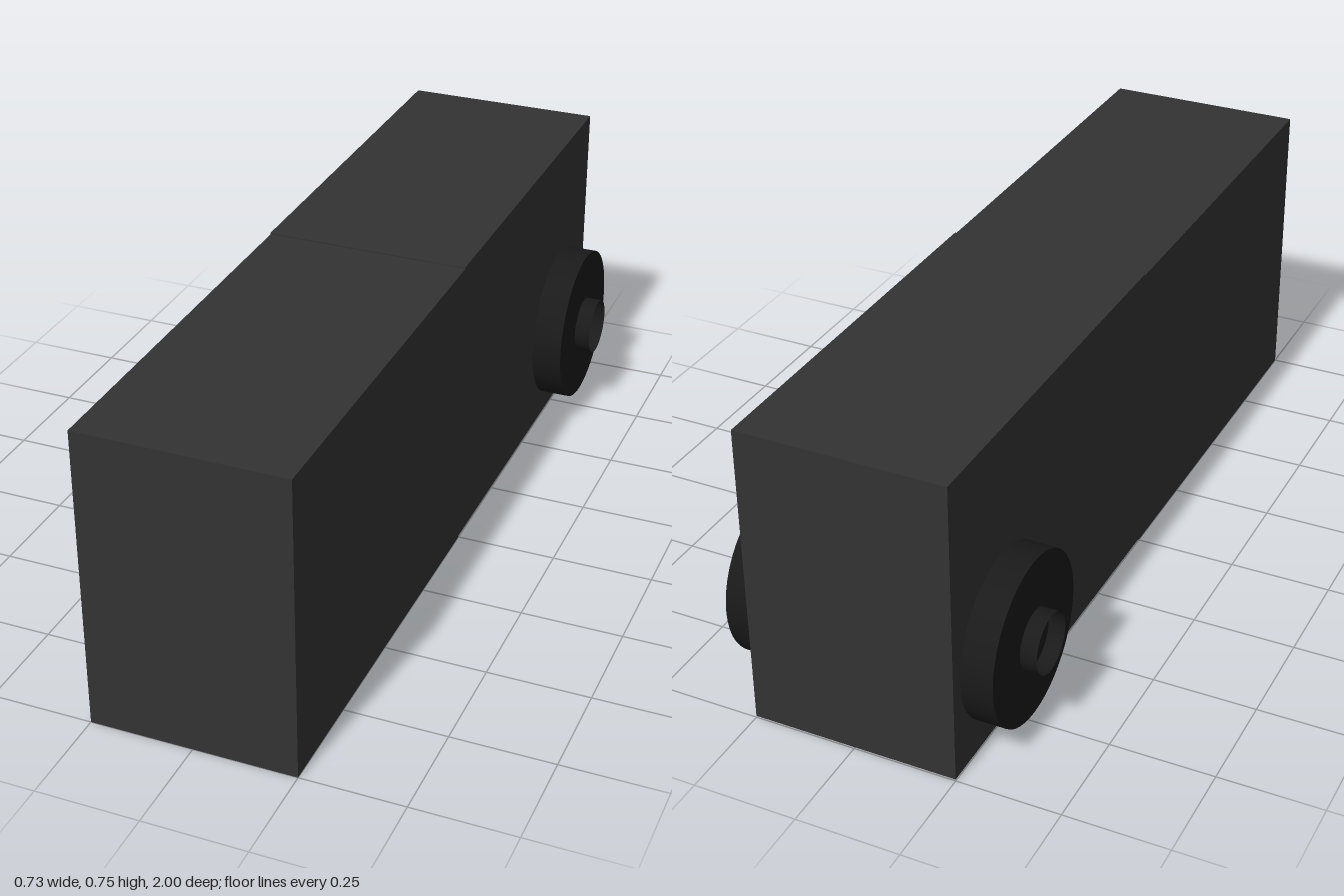
import * as THREE from 'three';

export function createModel() {
  const model = new THREE.Group();
  const bodyMat = new THREE.MeshStandardMaterial({ color: 0x333333 });
  const wheelMat = new THREE.MeshStandardMaterial({ color: 0x1a1a1a });
  const hubMat = new THREE.MeshStandardMaterial({ color: 0x1a1a1a, side: THREE.DoubleSide });

  const add = (name, geometry, material, x, y, z) => {
    const mesh = new THREE.Mesh(geometry, material);
    mesh.name = name;
    mesh.position.set(x, y, z);
    model.add(mesh);
    return mesh;
  };

  // Body: two blocks end to end, the rear one a hair higher
  const block = new THREE.BoxGeometry(0.5, 0.75, 1);
  add('frontBlock', block, bodyMat, 0, 0.375, 0.5);
  add('rearBlock', block, bodyMat, 0, 0.379, -0.5);

  // Wheels near the back, each with an open tubular hub
  const wheel = new THREE.CylinderGeometry(0.202, 0.202, 0.077, 48).rotateZ(Math.PI / 2);
  const hub = new THREE.CylinderGeometry(0.0725, 0.0725, 0.04, 32, 1, true).rotateZ(Math.PI / 2);
  for (const [side, s] of [['left', 1], ['right', -1]]) {
    add(side + 'Wheel', wheel, wheelMat, s * 0.2885, 0.246, -0.767);
    add(side + 'Hub', hub, hubMat, s * 0.347, 0.246, -0.767);
  }
  return model;
}
